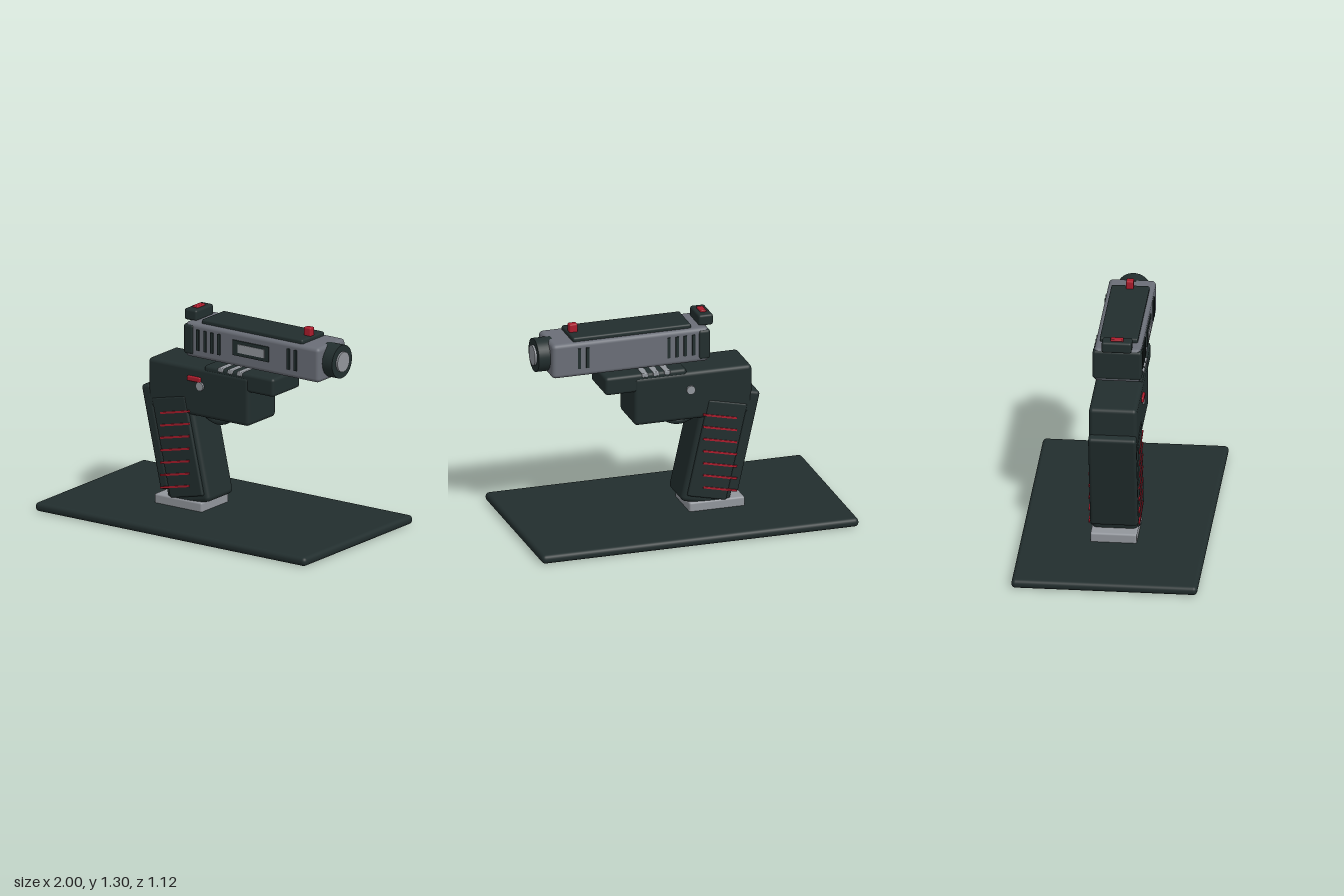
import * as THREE from 'three';
import { RoundedBoxGeometry } from 'three/addons/geometries/RoundedBoxGeometry.js';

const mat = (name, color) => {
  const m = new THREE.MeshStandardMaterial({ color });
  m.name = name;
  return m;
};

export function createModel() {
  const model = new THREE.Group();
  model.name = 'displayModel';
  const dark = mat('charcoal', 0x222e2e);
  const steel = mat('steelGrey', 0x6a6e77);
  const light = mat('lightGrey', 0x92969c);
  const red = mat('red', 0xab1c2c);
  const TILT = 0.22;

  const add = (name, geometry, material, x, y, z = 0, tilt = 0) => {
    const mesh = new THREE.Mesh(geometry, material);
    mesh.name = name;
    mesh.position.set(x, y, z);
    mesh.rotation.z = tilt;
    model.add(mesh);
    return mesh;
  };
  // Rounded block given by its x and y limits and full depth
  const block = (name, m, x0, x1, y0, y1, depth, r = 0.02, z = 0) =>
    add(name, new RoundedBoxGeometry(x1 - x0, y1 - y0, depth, 3, r), m, (x0 + x1) / 2, (y0 + y1) / 2, z);
  // Rounded block leaning with the grip
  const leaning = (name, m, w, h, depth, x, y, r, z = 0) =>
    add(name, new RoundedBoxGeometry(w, h, depth, 3, r), m, x, y, z, TILT);

  // Stand
  block('standPlate', dark, -1, 1, 0, 0.055, 1.12, 0.025);
  block('standFoot', light, -0.415, -0.065, 0.045, 0.112, 0.28, 0.012);

  // Grip
  leaning('gripCore', dark, 0.31, 0.72, 0.266, -0.245, 0.44, 0.03);
  leaning('gripBackstrap', dark, 0.07, 0.65, 0.29, -0.408, 0.467, 0.02);
  for (const s of [1, -1]) {
    leaning('gripPanel', dark, 0.25, 0.62, 0.04, -0.24, 0.435, 0.012, s * 0.13);
    for (let i = 0; i < 7; i++) {
      add('gripStripe', new THREE.BoxGeometry(0.218, 0.012, 0.009), red, -0.254, 0.652 - i * 0.078, s * 0.1505, TILT);
    }
  }

  // Frame, rail and guard
  block('frame', dark, -0.46, 0.283, 0.65, 0.957, 0.29, 0.025);
  block('rail', dark, -0.05, 0.465, 0.865, 0.98, 0.28, 0.02);
  for (const x of [0.075, 0.145, 0.215]) {
    block('railClip', light, x - 0.019, x + 0.019, 0.957, 0.984, 0.286, 0.006);
  }
  add('triggerGuard', new THREE.TorusGeometry(0.118, 0.024, 12, 40), dark, -0.04, 0.717);

  // Side lever and pivot pin
  block('lever', red, -0.162, -0.066, 0.868, 0.9, 0.025, 0.008, 0.147);
  const pin = add('pivotPin', new THREE.CylinderGeometry(0.027, 0.027, 0.316, 24), light, -0.07, 0.845);
  pin.rotation.x = Math.PI / 2;

  // Slide
  block('slide', steel, -0.19, 0.8, 1.013, 1.23, 0.282, 0.025);
  block('slideRearCap', dark, -0.197, -0.122, 1.03, 1.218, 0.296, 0.018);
  block('slideTopPlate', dark, -0.085, 0.662, 1.215, 1.255, 0.23, 0.012);
  for (const s of [1, -1]) {
    for (const x of [-0.09, -0.037, 0.014, 0.066, 0.578, 0.631]) {
      add('slideSlot', new THREE.BoxGeometry(0.019, 0.13, 0.009), dark, x, 1.13, s * 0.1435);
    }
  }
  add('portFrame', new THREE.BoxGeometry(0.265, 0.095, 0.009), dark, 0.302, 1.132, 0.1435);
  add('portInset', new THREE.BoxGeometry(0.194, 0.053, 0.006), light, 0.308, 1.132, 0.149);

  // Sights
  block('rearSight', dark, -0.232, -0.14, 1.223, 1.292, 0.18, 0.014);
  block('rearSightMark', red, -0.206, -0.166, 1.28, 1.303, 0.078, 0.006);
  block('frontSight', red, 0.602, 0.654, 1.25, 1.305, 0.044, 0.008);

  // Round nose
  const ring = (name, m, r, x0, x1) => {
    const g = new THREE.CylinderGeometry(r, r, x1 - x0, 40);
    add(name, g, m, (x0 + x1) / 2, 1.13, 0, -Math.PI / 2);
  };
  ring('noseCollar', dark, 0.103, 0.765, 0.872);
  ring('noseCap', light, 0.062, 0.8, 0.884);

  return model;
}
